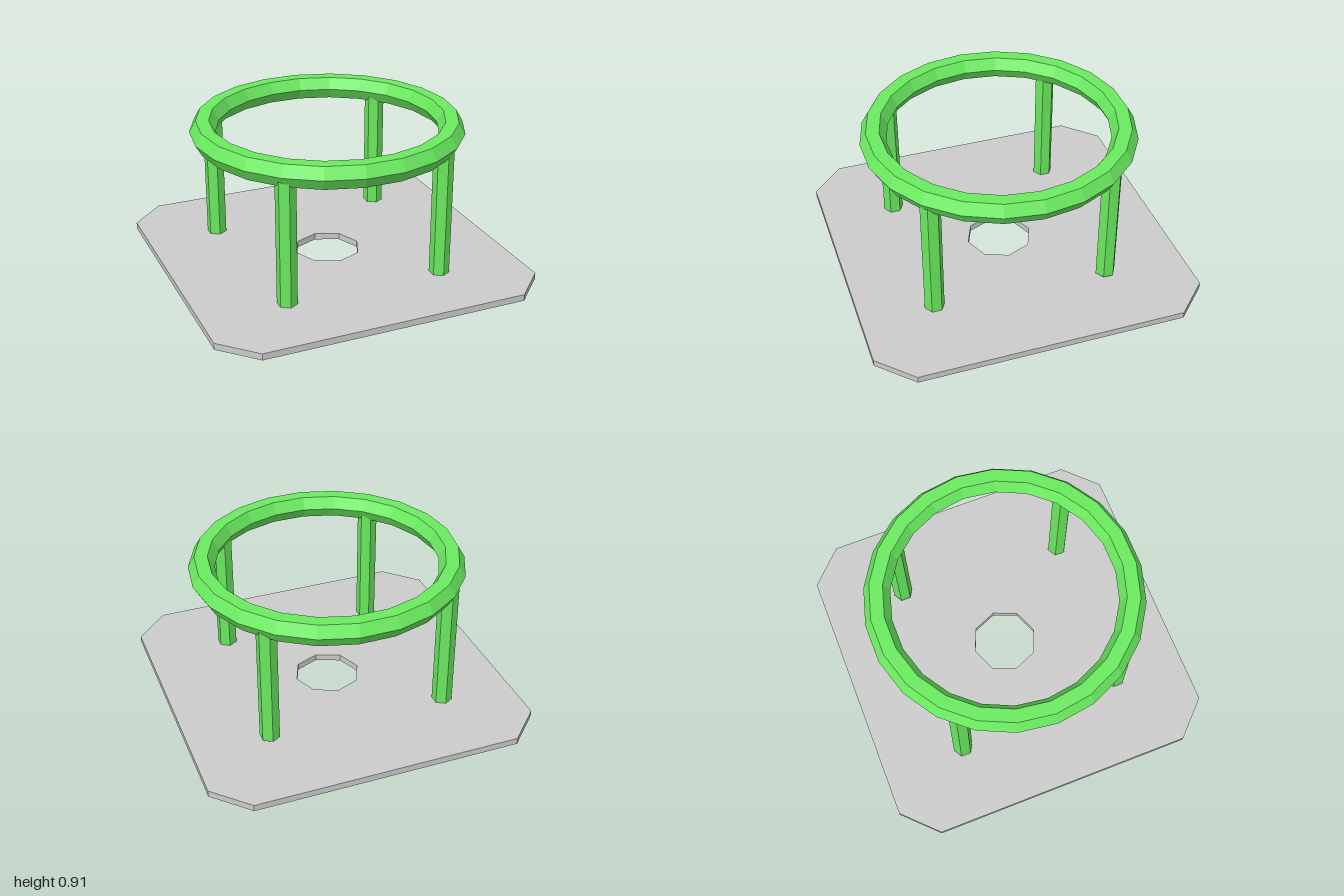
import * as THREE from 'three';

export function createModel() {
  const model = new THREE.Group();
  const grey = new THREE.MeshStandardMaterial({ color: 0xcccccc, flatShading: true });
  const green = new THREE.MeshStandardMaterial({ color: 0x6aea5f, flatShading: true });

  function add(name, geometry, material, x = 0, y = 0, z = 0) {
    const mesh = new THREE.Mesh(geometry, material);
    mesh.name = name;
    mesh.position.set(x, y, z);
    model.add(mesh);
  }

  // Square plate with cut corners and an octagonal hole
  const plate = new THREE.Shape([
    [1, -0.8], [1, 0.8], [0.8, 1], [-0.8, 1],
    [-1, 0.8], [-1, -0.8], [-0.8, -1], [0.8, -1],
  ].map(([x, y]) => new THREE.Vector2(x, y)));
  const hole = [];
  for (let i = 0; i < 8; i++) {
    const a = -i * Math.PI / 4;
    hole.push(new THREE.Vector2(0.2 * Math.cos(a), 0.2 * Math.sin(a)));
  }
  plate.holes.push(new THREE.Path(hole));
  const plateGeometry = new THREE.ExtrudeGeometry(plate, { depth: 0.04, bevelEnabled: false });
  add('basePlate', plateGeometry.rotateX(-Math.PI / 2), grey);

  // Ring with a hexagonal section
  const ringY = 0.842;
  add('ring', new THREE.TorusGeometry(0.737, 0.078, 6, 22).rotateX(Math.PI / 2), green, 0, ringY);

  // Hexagonal legs reaching into the ring; one stops just above the plate
  const legs = [
    ['frontLeftLeg', 0.483, 0.556, 0.03],
    ['frontRightLeg', -0.485, 0.556, 0.03],
    ['backLeftLeg', 0.541, -0.493, 0.062],
    ['backRightLeg', -0.555, -0.493, 0.03],
  ];
  for (const [name, x, z, bottom] of legs) {
    const height = ringY - bottom;
    add(name, new THREE.CylinderGeometry(0.06, 0.06, height, 6), green, x, bottom + height / 2, z);
  }
  return model;
}
